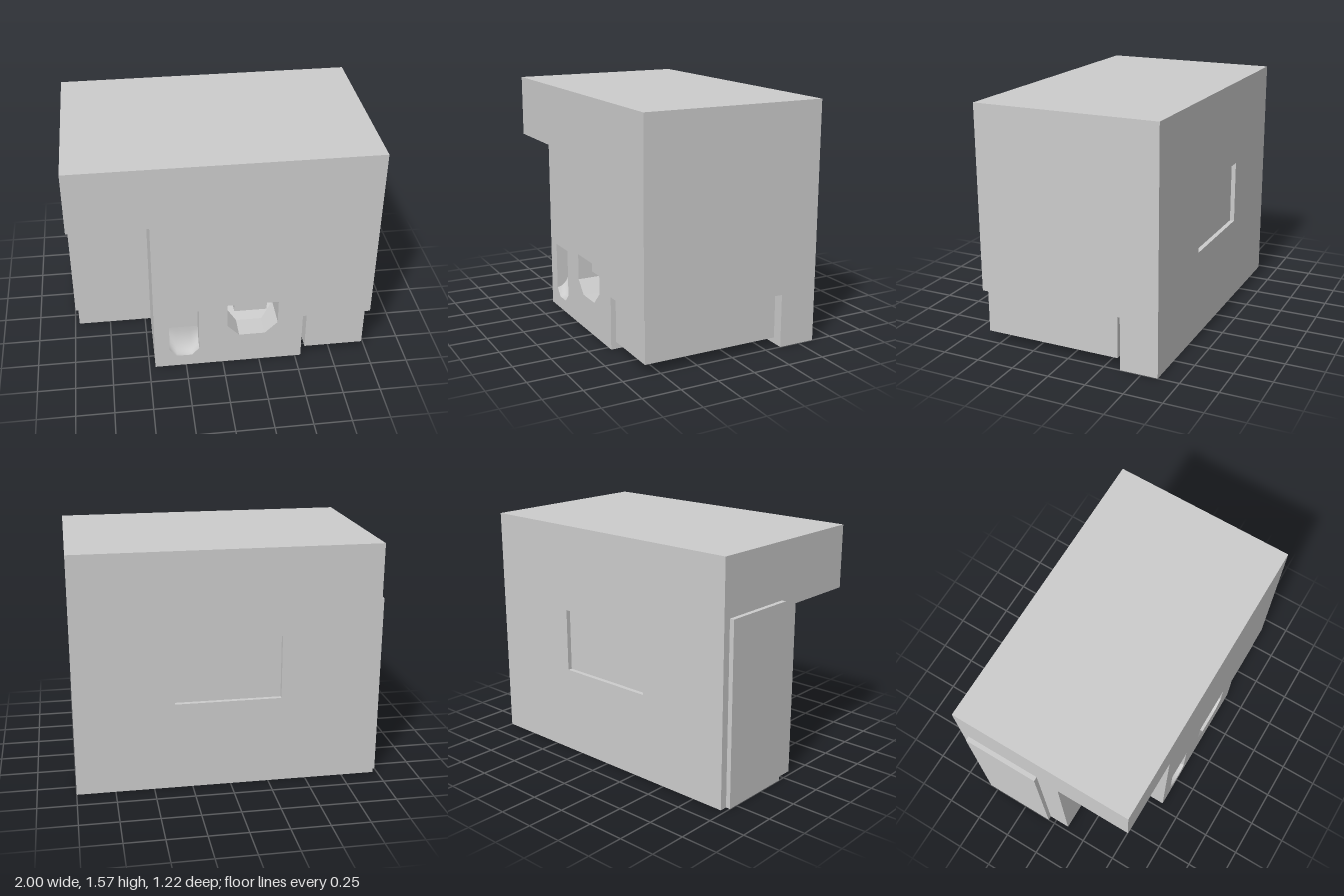
import * as THREE from 'three';
import { mergeGeometries } from 'three/addons/utils/BufferGeometryUtils.js';

const V = (x, y, z) => new THREE.Vector3(x, y, z);
const atX = (x, pts) => pts.map(([y, z]) => V(x, y, z));
const atY = (y, pts) => pts.map(([x, z]) => V(x, y, z));
const atZ = (z, pts) => pts.map(([x, y]) => V(x, y, z));

// Flat polygon in space, corners counter-clockwise seen from its front, optional holes
function face(corners, holes = []) {
  const n = V(0, 0, 0);
  corners.forEach((p, i) => n.add(p.clone().cross(corners[(i + 1) % corners.length])));
  n.normalize();
  const u = corners[1].clone().sub(corners[0]).normalize();
  const v = n.clone().cross(u);
  const flat = (ring) => ring.map((p) => new THREE.Vector2(p.dot(u), p.dot(v)));
  const all = [corners, ...holes].flat();
  const tris = THREE.ShapeUtils.triangulateShape(flat(corners), holes.map(flat));
  const g = new THREE.BufferGeometry().setFromPoints(tris.flat().map((i) => all[i]));
  g.computeVertexNormals();
  return g;
}

// Inward-facing walls between the mouth of a pocket and its inner ring
const pocketWalls = (mouth, inner) => mouth.map((a, i) => {
  const j = (i + 1) % mouth.length;
  return face([a, mouth[j], inner[j], inner[i]]);
});

export function createModel() {
  const group = new THREE.Group();
  const material = new THREE.MeshStandardMaterial({ color: 0xcccccc });
  const add = (name, geometry) => {
    const mesh = new THREE.Mesh(geometry, material);
    mesh.name = name;
    group.add(mesh);
  };
  const addBox = (name, [x0, x1], [y0, y1], [z0, z1]) => add(name,
    new THREE.BoxGeometry(x1 - x0, y1 - y0, z1 - z0)
      .translate((x0 + x1) / 2, (y0 + y1) / 2, (z0 + z1) / 2));

  const L = -0.97, R = 1, H = 1.57, F = 0.61, B = -0.61;
  const nx = -0.46, ny = 1.15, nz = 0.1;   // tall corner notch
  const dx = 0.54, dy = 0.35, dz = -0.36;  // drawer bay

  // Mouths of the openings
  const scoopMouth = atZ(F, [[-0.36, 0.14], [-0.31, 0.085], [-0.21, 0.085], [-0.16, 0.14], [-0.16, 0.46], [-0.36, 0.46]]);
  const spoutMouth = atZ(F, [[0.03, 0.315], [0.11, 0.23], [0.285, 0.23], [0.37, 0.315], [0.37, 0.49], [0.03, 0.49]]);
  const backRing = (z) => atZ(z, [[0.36, 0.58], [-0.33, 0.58], [-0.33, 1.0], [0.36, 1.0]]);

  // Outer shell
  add('body', mergeGeometries([
    face(atZ(F, [[nx, 0], [dx, 0], [dx, dy], [R, dy], [R, H], [L, H], [L, ny], [nx, ny]]), [scoopMouth, spoutMouth]),
    face(atZ(B, [[R, 0], [L, 0], [L, H], [R, H]]), [backRing(B)]),
    face(atY(H, [[L, F], [R, F], [R, B], [L, B]])),
    face(atY(0, [[L, B], [R, B], [R, dz], [dx, dz], [dx, F], [nx, F], [nx, nz], [L, nz]])),
    face(atX(R, [[0, dz], [0, B], [H, B], [H, F], [dy, F], [dy, dz]])),
    face(atX(L, [[0, B], [0, nz], [ny, nz], [ny, F], [H, F], [H, B]])),
  ]));

  // Tall notch in the front corner
  add('cornerNotch', mergeGeometries([
    face(atZ(nz, [[L, 0], [nx, 0], [nx, ny], [L, ny]])),
    face(atX(nx, [[0, nz], [0, F], [ny, F], [ny, nz]])),
    face(atY(ny, [[L, nz], [nx, nz], [nx, F], [L, F]])),
  ]));

  // Bay around the drawer
  add('drawerBay', mergeGeometries([
    face(atZ(dz, [[dx, 0], [R, 0], [R, dy], [dx, dy]])),
    face(atX(dx, [[0, F], [0, dz], [dy, dz], [dy, F]])),
    face(atY(dy, [[dx, dz], [R, dz], [R, F], [dx, F]])),
  ]));
  addBox('drawer', [0.57, 0.97], [0.06, 0.35], [-0.33, 0.59]);
  addBox('sidePanel', [-1, L], [0, 1.2], [-0.56, -0.05]);

  // Shallow recess in the back
  add('backRecess', mergeGeometries([
    ...pocketWalls(backRing(B), backRing(B + 0.03)), face(backRing(B + 0.03)),
  ]));

  // Spout pocket with a sloping lower back wall
  const pz = 0.39, depths = [pz, 0.46, 0.46, pz, pz, pz];
  const spoutInner = spoutMouth.map((p, i) => V(p.x, p.y, depths[i]));
  const [a, b, c, d, e, f] = spoutInner;
  add('spoutPocket', mergeGeometries([
    ...pocketWalls(spoutMouth, spoutInner), face([a, d, e, f]), face([a, b, c, d]),
  ]));
  addBox('spout', [0.085, 0.305], [0.375, 0.49], [pz, 0.535]);

  // Scoop pocket: curved chute sweeping from the back wall to the mouth
  const sz = 0.52, top = 0.26, rows = 8;
  const chutePoints = [], index = [];
  for (let r = 0; r <= rows; r++) {
    const t = (r / rows) * Math.PI / 2;
    for (let k = 0; k < 4; k++) {
      const m = scoopMouth[k];
      chutePoints.push(V(m.x, top + (m.y - top) * Math.sin(t), sz + (F - sz) * (1 - Math.cos(t))));
      const i = r * 4 + k;
      if (r < rows && k < 3) index.push(i, i + 4, i + 5, i, i + 5, i + 1);
    }
  }
  const chute = new THREE.BufferGeometry().setFromPoints(chutePoints);
  chute.setIndex(index);
  chute.computeVertexNormals();
  add('scoopChute', chute);

  const column = (k) => chutePoints.filter((_, i) => i % 4 === k);
  const side = (k, x) => [...column(k).reverse(), V(x, 0.46, sz), V(x, 0.46, F)];
  add('scoopWalls', mergeGeometries([
    face(side(0, -0.36)),
    face(side(3, -0.16).reverse()),
    face(atY(0.46, [[-0.36, sz], [-0.16, sz], [-0.16, F], [-0.36, F]])),
    face(atZ(sz, [[-0.36, top], [-0.16, top], [-0.16, 0.46], [-0.36, 0.46]])),
  ]));

  return group;
}
